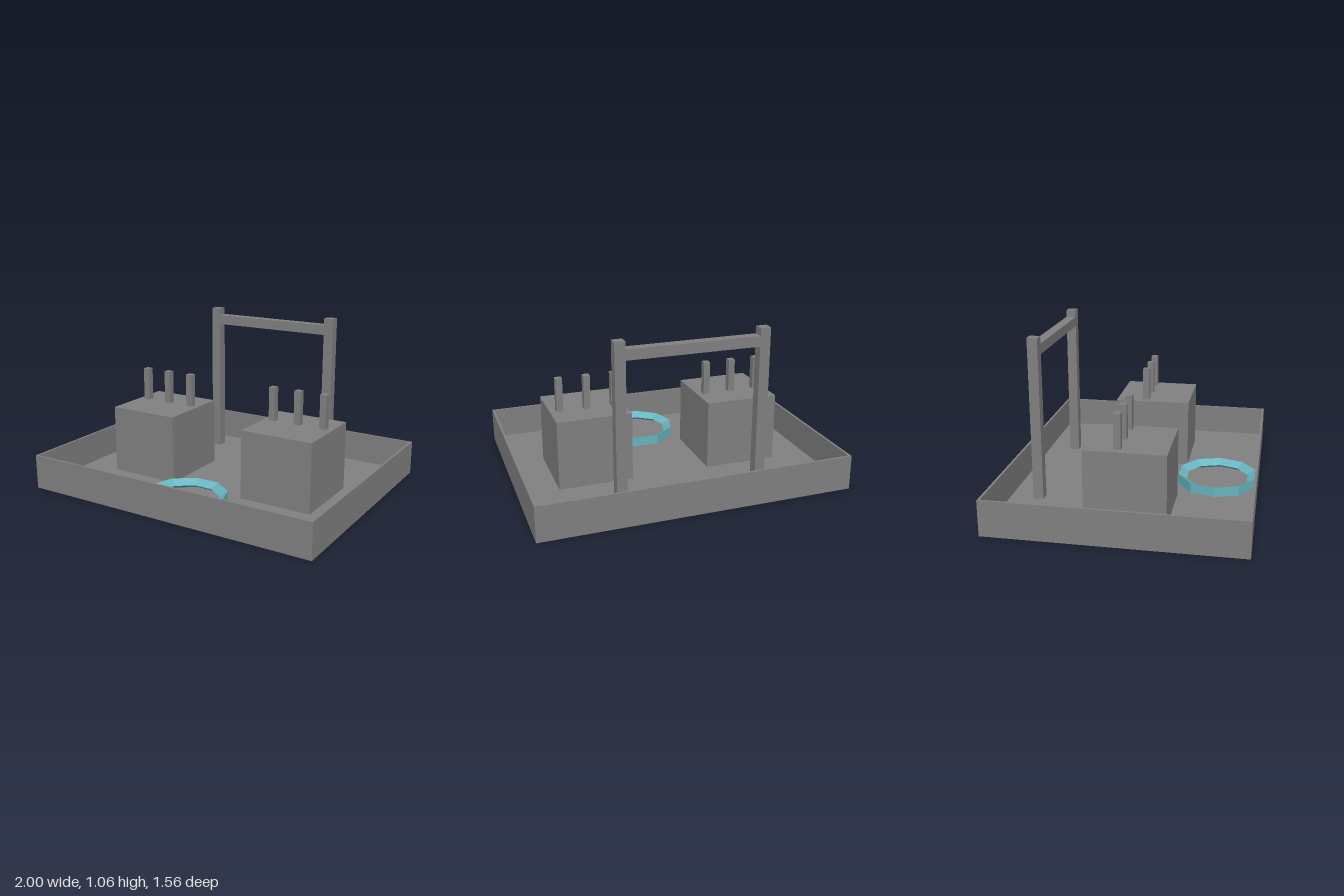
import * as THREE from 'three';

export function createModel() {
  const model = new THREE.Group();
  const grey = new THREE.MeshStandardMaterial({ color: 0x808080 });
  grey.name = 'stone grey';
  const aqua = new THREE.MeshStandardMaterial({ color: 0x66b5c1, flatShading: true });
  aqua.name = 'aqua';

  const FLOOR = 0.02;

  // Box given by its extents on each axis
  function block(name, [x0, x1], [y0, y1], [z0, z1], parent = model) {
    const geometry = new THREE.BoxGeometry(x1 - x0, y1 - y0, z1 - z0);
    const mesh = new THREE.Mesh(geometry, grey);
    mesh.position.set((x0 + x1) / 2, (y0 + y1) / 2, (z0 + z1) / 2);
    mesh.name = name;
    parent.add(mesh);
  }

  // Shallow tray: thin floor set just above the lower edge of four thin walls
  const tray = new THREE.Group();
  tray.name = 'tray';
  model.add(tray);
  const W = 1, D = 0.78, H = 0.225, T = 0.015;
  block('trayFloor', [T - W, W - T], [FLOOR - 0.005, FLOOR], [T - D, D - T], tray);
  block('frontWall', [-W, W], [0, H], [D - T, D], tray);
  block('backWall', [-W, W], [0, H], [-D, T - D], tray);
  block('leftWall', [W - T, W], [0, H], [T - D, D - T], tray);
  block('rightWall', [-W, T - W], [0, H], [T - D, D - T], tray);

  // Two pedestals, each with a row of three pegs, and the gate posts
  for (const [side, s] of [['left', 1], ['right', -1]]) {
    const span = (centre, width) => [s * centre - width / 2, s * centre + width / 2];
    block(side + 'Pedestal', span(0.5, 0.482), [FLOOR, 0.47], [-0.225, 0.277]);
    for (const x of [0.321, 0.5, 0.678]) {
      block(side + 'Peg', span(x, 0.043), [0.47, 0.69], [-0.046, -0.002]);
    }
    block(side + 'GatePost', span(0.447, 0.066), [FLOOR, 1.06], [-0.614, -0.549]);
  }
  block('gateCrossbar', [-0.414, 0.414], [0.948, 1.013], [-0.614, -0.549]);

  // Ten-sided ring with a triangular section pointing inwards
  const profile = [
    [0.207, FLOOR + 0.032], [0.262, FLOOR], [0.262, FLOOR + 0.064], [0.207, FLOOR + 0.032],
  ].map(([r, y]) => new THREE.Vector2(r, y));
  const ring = new THREE.Mesh(new THREE.LatheGeometry(profile, 10, Math.PI / 2), aqua);
  ring.position.z = 0.51;
  ring.name = 'ring';
  model.add(ring);

  return model;
}
